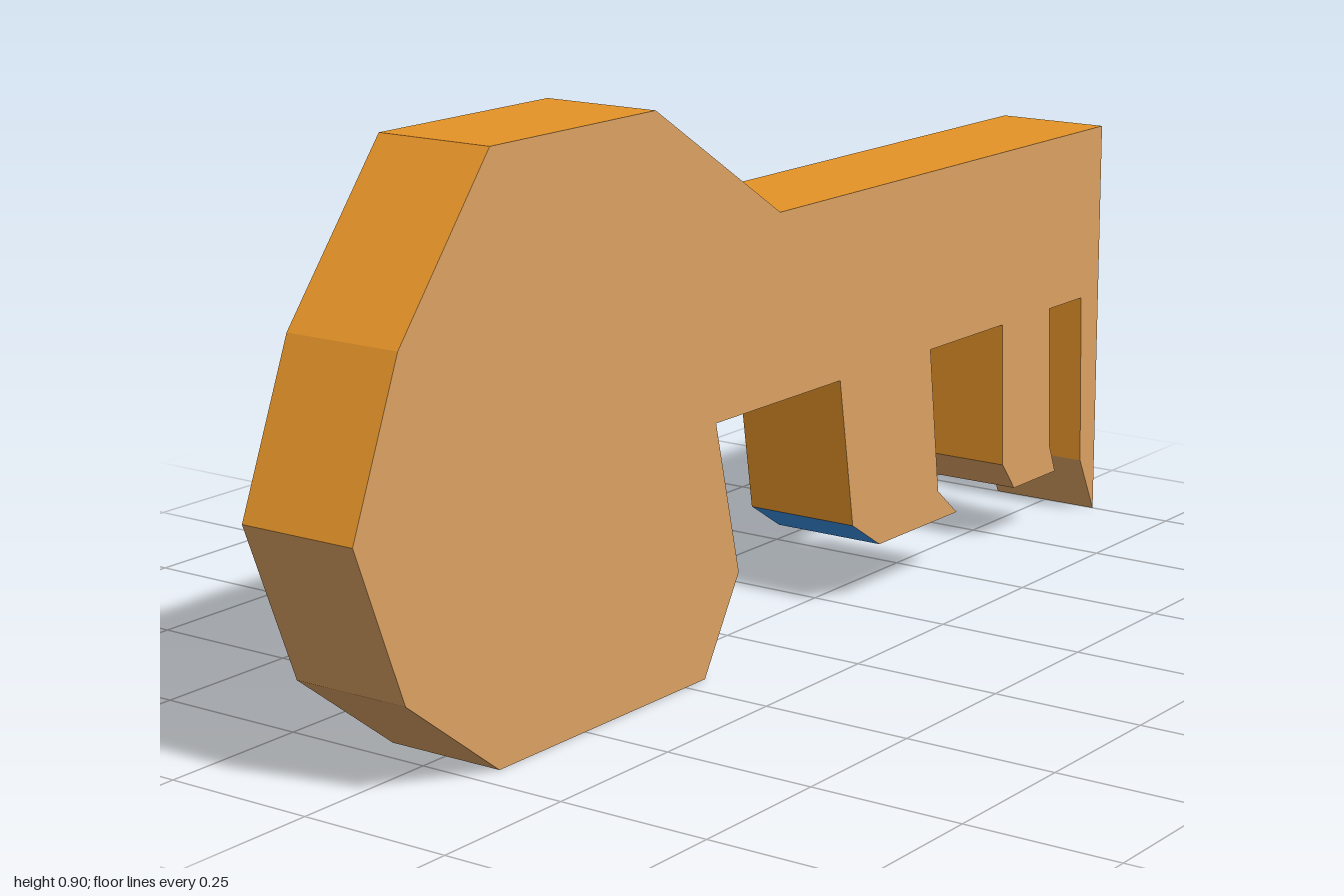
import * as THREE from 'three';

const HALF = 0.1; // half thickness

// Profile polygons, as [z, y] corners
const bow = [[0.7, 0], [0.9, 0.15], [1, 0.4], [0.9, 0.65], [0.7, 0.9], [0.32, 0.9],
  [0, 0.7], [0.17, 0.4], [0.11, 0.15], [0.2, 0]];
const shaft = [[0, 0.7], [-1, 0.7], [-1, 0.4], [0.17, 0.4]];
const teeth = [
  [[-0.44, 0.4], [-0.47, 0.15], [-0.53, 0.1], [-0.29, 0.1], [-0.21, 0.15], [-0.17, 0.4]],
  [[-0.83, 0.4], [-0.84, 0.15], [-0.86, 0.1], [-0.72, 0.1], [-0.68, 0.15], [-0.67, 0.4]],
  [[-1, 0.4], [-1, 0], [-0.95, 0.1], [-0.94, 0.4]],
];

// Flat side plate on the left (+1) or right (-1) side
function plate(points, side) {
  const shape = new THREE.Shape(points.map(([z, y]) => new THREE.Vector2(-side * z, y)));
  const geometry = new THREE.ShapeGeometry(shape);
  geometry.rotateY(side * Math.PI / 2);
  geometry.translate(side * HALF, 0, 0);
  return geometry;
}

// Flat-shaded rim across the thickness, following a run of profile corners
function rim(points) {
  const pos = [];
  for (let i = 0; i + 1 < points.length; i++) {
    const [[az, ay], [bz, by]] = [points[i], points[i + 1]];
    pos.push(-HALF, ay, az, HALF, ay, az, HALF, by, bz);
    pos.push(-HALF, ay, az, HALF, by, bz, -HALF, by, bz);
  }
  const geometry = new THREE.BufferGeometry();
  geometry.setAttribute('position', new THREE.Float32BufferAttribute(pos, 3));
  geometry.computeVertexNormals();
  return geometry;
}

export function createModel() {
  const material = (name, color) =>
    new THREE.MeshStandardMaterial({ name, color, side: THREE.DoubleSide });
  const tan = material('tan', 0xdca263);
  const orange = material('orange', 0xe59328);
  const blue = material('blue', 0x3a92e6);

  const model = new THREE.Group();
  model.name = 'key';
  const group = (name) => {
    const g = new THREE.Group();
    g.name = name;
    model.add(g);
    return g;
  };
  const add = (parent, name, geometry, mat) => {
    const mesh = new THREE.Mesh(geometry, mat);
    mesh.name = name;
    parent.add(mesh);
  };
  const addSides = (parent, points) => {
    add(parent, 'leftSide', plate(points, 1), tan);
    add(parent, 'rightSide', plate(points, -1), tan);
  };

  // Rounded grip; its rear wall is open
  const bowGroup = group('bow');
  addSides(bowGroup, bow);
  add(bowGroup, 'lowerFrontRim', rim(bow.slice(0, 3)), tan);
  add(bowGroup, 'upperRim', rim(bow.slice(2, 7)), orange);
  add(bowGroup, 'lowerRearRim', rim(bow.slice(8)), tan);
  add(bowGroup, 'bottom', rim([bow[9], bow[0]]), blue);

  // Straight shaft
  const shaftGroup = group('shaft');
  addSides(shaftGroup, shaft);
  add(shaftGroup, 'top', rim(shaft.slice(0, 2)), orange);
  add(shaftGroup, 'endFace', rim([shaft[1], teeth[2][1]]), tan);
  add(shaftGroup, 'underside', rim([[-0.17, 0.4], [0.17, 0.4]]), blue);

  // Teeth, open towards the rear and the shaft
  teeth.forEach((points, i) => {
    const tooth = group('tooth' + (i + 1));
    const n = points.length;
    addSides(tooth, points);
    add(tooth, 'frontWall', rim(points.slice(n - 2)), orange);
    add(tooth, 'bevel', rim(points.slice(n - 3, n - 1)), i === 0 ? blue : tan);
    if (n === 6) add(tooth, 'bottom', rim(points.slice(2, 4)), blue);
  });

  return model;
}
